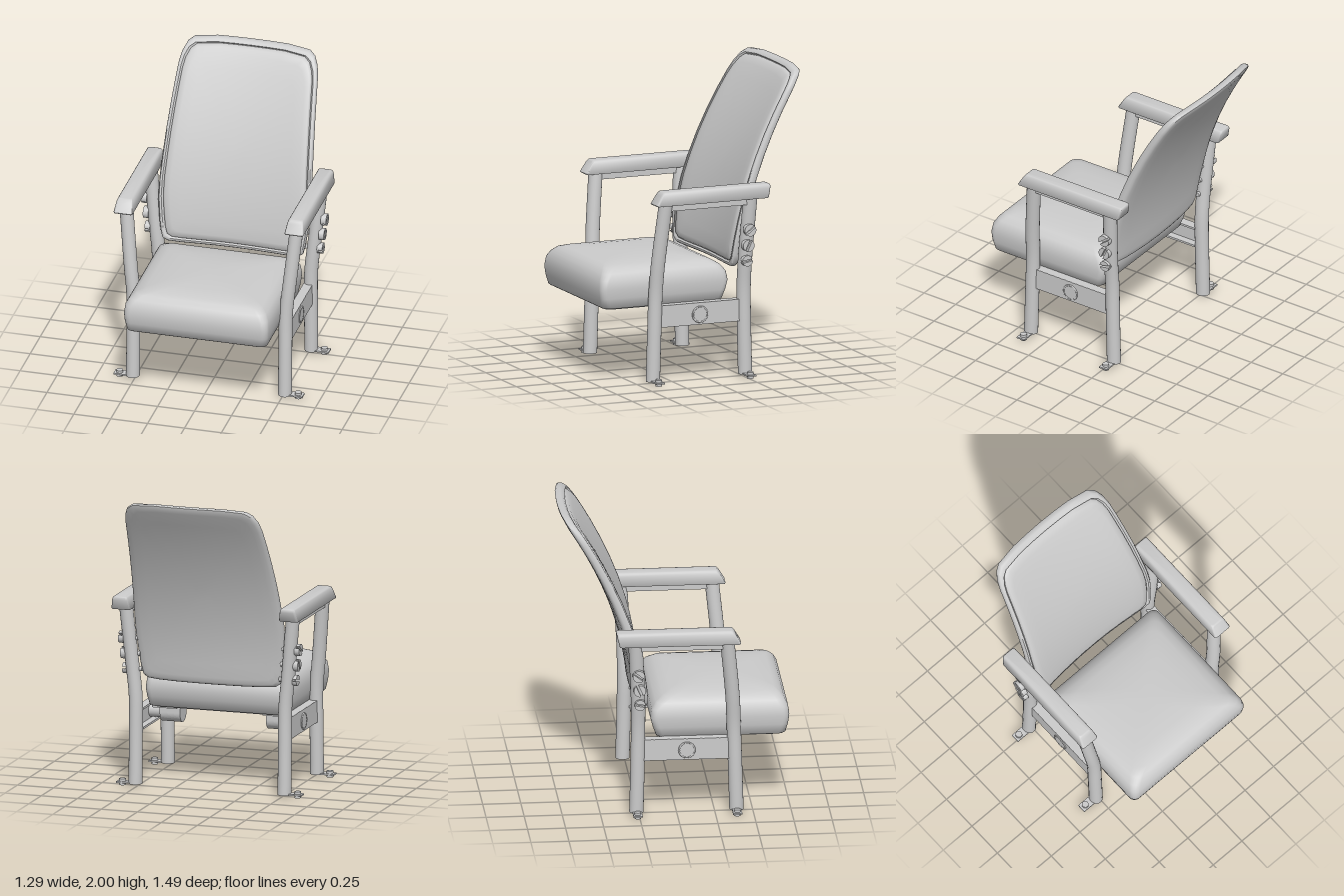
import * as THREE from 'three';
import { toCreasedNormals } from 'three/addons/utils/BufferGeometryUtils.js';

const material = new THREE.MeshStandardMaterial({ color: 0xcccccc });

function add(parent, name, geometry, x = 0, y = 0, z = 0) {
  const mesh = new THREE.Mesh(geometry, material);
  mesh.name = name;
  mesh.position.set(x, y, z);
  parent.add(mesh);
  return mesh;
}

// Closed skin through rings of points, with a fan at each end
function loft(rings, crease = 0.6) {
  const n = rings[0].length, points = rings.flat(), index = [];
  const centre = ring => ring.reduce((c, p) => c.add(p), new THREE.Vector3()).divideScalar(n);
  for (let i = 0; i < rings.length - 1; i++) {
    for (let j = 0; j < n; j++) {
      const a = i * n + j, b = i * n + (j + 1) % n;
      index.push(a, b, b + n, a, b + n, a + n);
    }
  }
  const first = points.length, last = first + 1, top = (rings.length - 1) * n;
  points.push(centre(rings[0]), centre(rings[rings.length - 1]));
  for (let j = 0; j < n; j++) {
    const k = (j + 1) % n;
    index.push(first, k, j, last, top + j, top + k);
  }
  const geometry = new THREE.BufferGeometry().setFromPoints(points);
  geometry.setIndex(index);
  return toCreasedNormals(geometry, crease);
}

// Horizontal rounded rectangle at height y
function roundedRing(y, x, halfX, zMin, zMax, r, steps = 5) {
  const ring = [], cz = (zMin + zMax) / 2, halfZ = (zMax - zMin) / 2;
  const corners = [[1, 1], [1, -1], [-1, -1], [-1, 1]];
  corners.forEach(([sx, sz], q) => {
    for (let i = 0; i <= steps; i++) {
      const a = (q + i / steps) * Math.PI / 2;
      ring.push(new THREE.Vector3(
        x + sx * (halfX - r) + r * Math.sin(a), y, cz + sz * (halfZ - r) + r * Math.cos(a)));
    }
  });
  return ring;
}

// Round leg following a few [x, y, z] points
function legGeometry(path, s) {
  const curve = new THREE.CatmullRomCurve3(path.map(([x, y, z]) => new THREE.Vector3(s * x, y, z)));
  return loft(curve.getPoints(16).map(p => Array.from({ length: 20 }, (_, i) => {
    const a = i / 20 * Math.PI * 2;
    return new THREE.Vector3(p.x + 0.045 * Math.sin(a), p.y, p.z + 0.047 * Math.cos(a));
  })));
}

// Round bolt head in two halves, with a slot between them
function slottedBolt(r, depth) {
  const bolt = new THREE.Group();
  for (const start of [0, Math.PI]) {
    const shape = new THREE.Shape();
    shape.absarc(0, 0, r, start + 0.2, start + Math.PI - 0.2);
    const head = new THREE.ExtrudeGeometry(shape, { depth, bevelEnabled: false, curveSegments: 12 });
    add(bolt, 'boltHeadHalf', head, 0, 0, -depth / 2);
  }
  const core = new THREE.CylinderGeometry(r * 0.95, r * 0.95, depth * 0.3, 20).rotateX(Math.PI / 2);
  add(bolt, 'boltCore', core, 0, 0, -depth * 0.35);
  return bolt;
}

// Seat cushion: a crowned pillow on a flat base panel
function createSeat() {
  const seat = new THREE.Group();
  seat.name = 'seat';
  const rings = [
    [0.51, 0.465, -0.12, 0.71, 0.04], [0.518, 0.475, -0.13, 0.722, 0.045],
    [0.58, 0.486, -0.152, 0.738, 0.045], [0.64, 0.49, -0.167, 0.745, 0.045],
    [0.70, 0.484, -0.157, 0.737, 0.05], [0.74, 0.462, -0.128, 0.715, 0.055],
    [0.77, 0.425, -0.08, 0.688, 0.06], [0.786, 0.37, -0.03, 0.655, 0.07],
    [0.800, 0.26, 0.07, 0.56, 0.08], [0.809, 0.12, 0.18, 0.43, 0.08],
  ].map(([y, w, z0, z1, r]) => roundedRing(y, 0, w, z0, z1, r));
  add(seat, 'seatCushion', loft(rings, 0.9));
  add(seat, 'seatBasePanel', loft([
    roundedRing(0.503, 0, 0.45, -0.105, 0.695, 0.05), roundedRing(0.53, 0, 0.45, -0.105, 0.695, 0.05)]));
  return seat;
}

// Tall reclined back: an outline, inset or scaled ring by ring, leaning back and bowed around the sitter
function createBackrest() {
  const half = [[0.12, 0.715], [0.24, 0.715], [0.36, 0.717], [0.44, 0.723], [0.475, 0.745], [0.489, 0.8],
    [0.502, 0.9], [0.513, 1.02], [0.513, 1.15], [0.505, 1.3], [0.497, 1.45], [0.487, 1.6],
    [0.477, 1.74], [0.468, 1.85], [0.455, 1.91], [0.43, 1.96], [0.39, 1.988], [0.24, 2], [0.12, 2]];
  const outline = [[0, 0.715], ...half, [0, 2], ...half.map(([x, y]) => [-x, y]).reverse()];
  const midY = 1.3575, halfH = 0.6425, halfW = 0.513;
  const ring = ([inset, d, scale = 1]) => outline.map(([px, py]) => {
    const x = px * scale * (1 - inset / halfW);
    const y = midY + (py - midY) * scale * (1 - inset / halfH);
    const t = (y - 0.72) / 1.28;
    return new THREE.Vector3(x, y, -0.24 - 0.105 * t - 0.375 * t * t + 0.16 * x * x + d);
  });
  const inner = [0.85, 0.65, 0.45, 0.25, 0.08];
  const back = new THREE.Group();
  back.name = 'backrest';
  add(back, 'backShell', loft([
    ...inner.map(k => [0.05, -0.038, k]).reverse(), [0.05, -0.038], [0.02, -0.034], [0.006, -0.027],
    [0, -0.014], [0, 0.012], [0.008, 0.024], [0.022, 0.026], [0.032, 0.012],
    ...inner.map(k => [0.04, 0, k])].map(ring), 0.9));
  add(back, 'backCushion', loft([
    ...inner.map(k => [0.034, 0.004, k]).reverse(), [0.034, 0.004], [0.034, 0.022],
    [0.045, 0.034], [0.08, 0.039], ...inner.map(k => [0.08, 0.04, k])].map(ring), 0.9));
  return back;
}

// One side frame: legs, feet, rail, armrest, bolts and seat hinge
function createSide(s) {
  const side = new THREE.Group();
  side.name = s > 0 ? 'leftFrame' : 'rightFrame';

  add(side, 'frontLeg', legGeometry([[0.515, 0.016, 0.392], [0.515, 0.35, 0.382], [0.517, 0.6, 0.374],
    [0.537, 0.8, 0.365], [0.578, 1.22, 0.325]], s));
  add(side, 'rearLeg', legGeometry([[0.515, 0.016, -0.265], [0.515, 0.35, -0.257], [0.517, 0.6, -0.254],
    [0.537, 0.8, -0.256], [0.578, 1.22, -0.277]], s));

  // Floor tabs with their fixing bolts
  for (const z of [0.39, -0.263]) {
    add(side, 'footTab', new THREE.BoxGeometry(0.13, 0.01, 0.06), s * 0.575, 0.021, z);
    add(side, 'footBolt', new THREE.CylinderGeometry(0.022, 0.022, 0.043, 16), s * 0.605, 0.0215, z);
  }

  // Armrest pad with sloping sides and softened top, and the strip beneath it
  const x = s * 0.579;
  add(side, 'armrest', loft([
    roundedRing(1.2, x, 0.062, -0.377, 0.41, 0.012), roundedRing(1.206, x, 0.065, -0.384, 0.413, 0.015),
    roundedRing(1.265, x, 0.055, -0.399, 0.378, 0.015), roundedRing(1.28, x, 0.051, -0.401, 0.367, 0.015),
    roundedRing(1.288, x, 0.045, -0.397, 0.36, 0.014), roundedRing(1.29, x, 0.037, -0.39, 0.352, 0.012)], 0.9));
  add(side, 'armrestStrip', new THREE.BoxGeometry(0.055, 0.045, 0.6), s * 0.575, 1.18, 0.025);

  // Channel rail between the legs, open toward the seat
  add(side, 'railWeb', new THREE.BoxGeometry(0.014, 0.145, 0.58), s * 0.528, 0.445, 0.065);
  for (const y of [0.379, 0.511]) {
    add(side, 'railFlange', new THREE.BoxGeometry(0.06, 0.014, 0.58), s * 0.504, y, 0.065);
  }

  // Pivot boss, shaft and saddle carrying the seat
  const rod = (r, length) => new THREE.CylinderGeometry(r, r, length, 28).rotateZ(Math.PI / 2);
  add(side, 'pivotCap', rod(0.047, 0.012), s * 0.534, 0.44, 0.065);
  add(side, 'pivotRing', new THREE.TorusGeometry(0.051, 0.006, 8, 32).rotateY(Math.PI / 2), s * 0.536, 0.44, 0.065);
  add(side, 'pivotShaft', rod(0.048, 0.12), s * 0.465, 0.442, 0.065);
  const saddle = new THREE.Shape();
  saddle.moveTo(-0.068, 0.062);
  saddle.lineTo(-0.068, 0);
  saddle.absarc(0, 0, 0.068, Math.PI, Math.PI * 2);
  saddle.lineTo(0.068, 0.062);
  const saddleGeo = new THREE.ExtrudeGeometry(saddle, { depth: 0.14, bevelEnabled: false, curveSegments: 16 });
  add(side, 'seatSaddle', saddleGeo.translate(0, 0, -0.07).rotateY(Math.PI / 2), s * 0.367, 0.442, 0.065);
  add(side, 'saddlePlate', new THREE.BoxGeometry(0.17, 0.016, 0.28), s * 0.382, 0.497, 0.065);

  // Slotted bolts fixing the back to the rear leg
  for (const [y, z, r, bx, turn] of [[0.99, -0.257, 0.04, 0.608, 0.65],
    [0.885, -0.25, 0.04, 0.595, 1.15], [0.782, -0.247, 0.036, 0.584, 0.2]]) {
    const bolt = slottedBolt(r, 0.036);
    bolt.name = 'backBolt';
    bolt.position.set(s * bx, y, z);
    bolt.rotation.set(0, s * Math.PI / 2, s * turn, 'YXZ');
    side.add(bolt);
    add(side, 'boltShank', rod(0.016, 0.1), s * (bx - 0.06), y, z);
  }
  return side;
}

export function createModel() {
  const chair = new THREE.Group();
  chair.name = 'armchair';
  chair.add(createSeat(), createBackrest(), createSide(1), createSide(-1));
  return chair;
}
